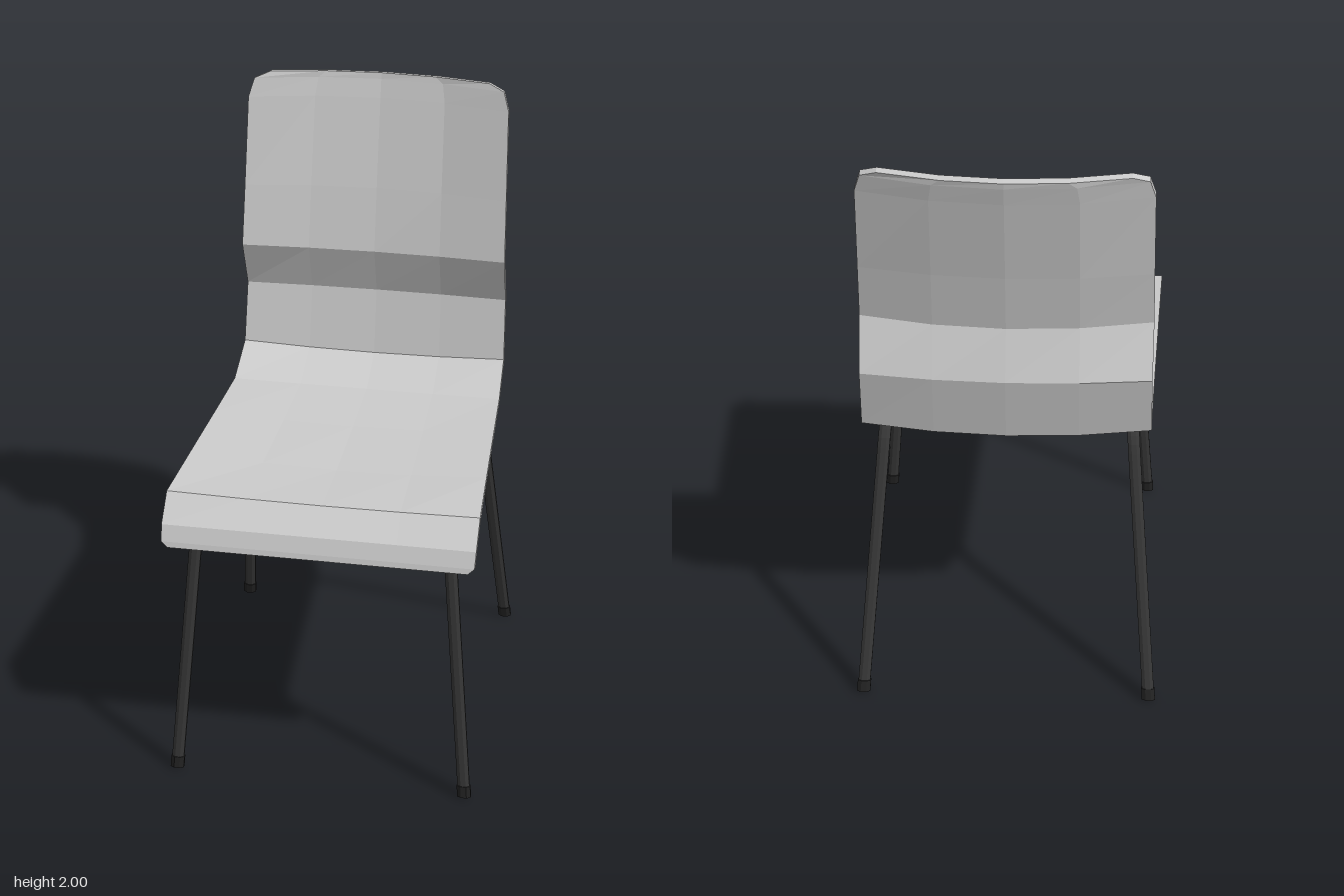
import * as THREE from 'three';

const material = (color) => new THREE.MeshStandardMaterial({ color, flatShading: true });

// Skins a list of equal closed rings and closes both ends.
function loft(rings) {
  const n = rings[0].length, last = (rings.length - 1) * n, index = [];
  for (let r = 0; r < rings.length - 1; r++) {
    for (let i = 0; i < n; i++) {
      const a = r * n + i, b = r * n + (i + 1) % n;
      index.push(a, b, b + n, a, b + n, a + n);
    }
  }
  for (let i = 0; i < n / 2 - 1; i++) {
    const a = i, b = i + 1, c = n - 2 - i, d = n - 1 - i;
    index.push(a, c, b, a, d, c);
    index.push(last + a, last + b, last + c, last + a, last + c, last + d);
  }
  const geometry = new THREE.BufferGeometry();
  geometry.setAttribute('position', new THREE.Float32BufferAttribute(rings.flat(2), 3));
  geometry.setIndex(index);
  geometry.computeVertexNormals();
  return geometry;
}

// One-piece seat and back. Each row: z, y, half width, hollow backwards, hollow downwards.
function shellGeometry() {
  const rows = [
    [0.6, 0.842, 0.465, 0, 0],
    [0.596, 0.86, 0.485, 0, 0],
    [0.578, 0.91, 0.487, 0, 0],
    [0.5, 0.985, 0.487, 0, 0.006],
    [0.25, 0.987, 0.475, 0, 0.018],
    [-0.05, 0.988, 0.461, 0, 0.016],
    [-0.295, 0.99, 0.45, 0.018, 0.01],
    [-0.443, 1.065, 0.445, 0.02, 0.02],
    [-0.485, 1.265, 0.44, 0.022, 0.005],
    [-0.415, 1.43, 0.44, 0.04, 0.01],
    [-0.45, 1.63, 0.435, 0.046, 0],
    [-0.497, 1.92, 0.428, 0.065, 0],
    [-0.507, 1.98, 0.41, 0.07, 0],
    [-0.51, 2, 0.36, 0.07, 0],
  ];
  const thickness = 0.024;
  const direction = (i) => new THREE.Vector2(
    rows[i + 1][0] - rows[i][0], rows[i + 1][1] - rows[i][1]).normalize();
  const rings = rows.map(([z, y, w, back, down], r) => {
    const before = direction(Math.max(r - 1, 0));
    const after = direction(Math.min(r, rows.length - 2));
    const t = before.clone().add(after).normalize();
    const depth = thickness / t.dot(after);
    const point = (u, d) => {
      const x = u * w;
      const bow = 1 - Math.min(1, (x / 0.44) ** 2);
      return [x, y - down * (1 - u * u) + t.x * d, z - back * bow - t.y * d];
    };
    const columns = [-1, -0.5, 0, 0.5, 1];
    return [...columns.map((u) => point(u, 0)),
      ...columns.slice().reverse().map((u) => point(u, depth))];
  });
  return loft(rings);
}

// Flattened tube swept along a path that runs front to back.
function tubeGeometry(path, halfWidth, halfDepth) {
  const sides = 8;
  const rings = path.map((p, i) => {
    const a = path[Math.max(i - 1, 0)], b = path[Math.min(i + 1, path.length - 1)];
    const t = new THREE.Vector2(b.z - a.z, b.y - a.y).normalize();
    return Array.from({ length: sides }, (_, k) => {
      const angle = (k + 0.5) / sides * Math.PI * 2;
      const s = Math.sin(angle) * halfDepth;
      return [p.x + Math.cos(angle) * halfWidth, p.y + t.x * s, p.z - t.y * s];
    });
  });
  return loft(rings);
}

// Front leg, seat rail and rear leg as one bent path; the legs splay outwards.
function legPath(side) {
  const at = (z, y) => new THREE.Vector3(side * (0.39 + 0.08 * (1 - y / 0.935)), y, z);
  const bend = (a, b, c) => new THREE.QuadraticBezierCurve3(a, b, c).getPoints(6);
  return [
    at(0.57, 0.005),
    ...bend(at(0.492, 0.85), at(0.484, 0.935), at(0.4, 0.934)),
    ...bend(at(-0.19, 0.926), at(-0.28, 0.925), at(-0.307, 0.84)),
    at(-0.541, 0.005),
  ];
}

export function createModel() {
  const model = new THREE.Group();
  const metal = material(0x363636);
  const rubber = material(0x222222);
  const light = material(0xcccccc);
  const add = (name, geometry, mat, x = 0, y = 0, z = 0) => {
    const mesh = new THREE.Mesh(geometry, mat);
    mesh.name = name;
    mesh.position.set(x, y, z);
    model.add(mesh);
    return mesh;
  };

  add('seatShell', shellGeometry(), light);

  for (const side of [-1, 1]) {
    const label = side > 0 ? 'left' : 'right';
    const path = legPath(side);
    add(label + 'LegFrame', tubeGeometry(path, 0.021, 0.0125), metal);

    // Foot caps follow the slope of each leg end.
    const end = path.length - 1;
    const frontTop = path[0].clone().lerp(path[1], 0.045);
    const rearTop = path[end].clone().lerp(path[end - 1], 0.045);
    const ground = (p) => new THREE.Vector3(p.x, 0.003, p.z);
    add(label + 'FrontFoot', tubeGeometry([ground(path[0]), frontTop], 0.0235, 0.015), rubber);
    add(label + 'RearFoot', tubeGeometry([rearTop, ground(path[end])], 0.0235, 0.015), rubber);

    // Spacers between the rail and the shell, with bolt heads below.
    for (const z of [0.335, -0.13]) {
      add(label + 'Spacer', new THREE.CylinderGeometry(0.038, 0.038, 0.026, 10), light, side * 0.385, 0.956, z);
      add(label + 'Bolt', new THREE.CylinderGeometry(0.02, 0.02, 0.012, 8), metal, side * 0.385, 0.914, z);
    }
  }

  // Cross rails under the seat
  for (const z of [0.335, -0.13]) {
    add('crossRail', new THREE.BoxGeometry(0.78, 0.022, 0.04), metal, 0, 0.926, z);
  }
  return model;
}
